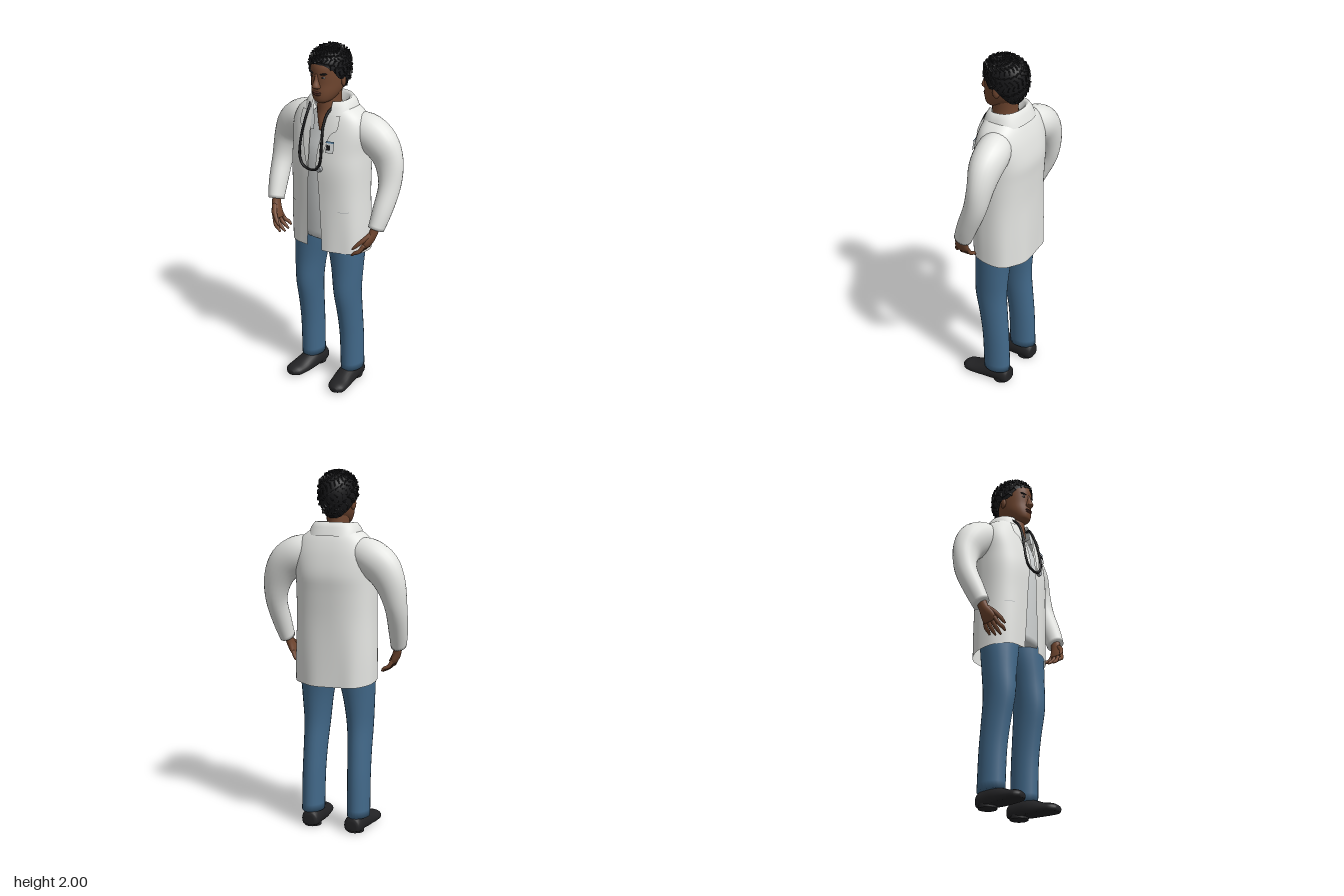
import * as THREE from 'three';
import { mergeGeometries } from 'three/addons/utils/BufferGeometryUtils.js';

const V = (x, y, z) => new THREE.Vector3(x, y, z);
const mat = (name, color, side = THREE.FrontSide) => {
  const m = new THREE.MeshStandardMaterial({ color, side });
  m.name = name;
  return m;
};

// Smooth surface through rows of points; closed rows wrap round
function grid(rows, closed) {
  const n = rows[0].length, idx = [];
  for (let i = 0; i < rows.length - 1; i++)
    for (let j = 0; j < (closed ? n : n - 1); j++) {
      const a = i * n + j, b = i * n + (j + 1) % n;
      idx.push(a, b, b + n, a, b + n, a + n);
    }
  const g = new THREE.BufferGeometry().setFromPoints(rows.flat());
  g.setIndex(idx);
  g.computeVertexNormals();
  return g;
}

// Catmull-Rom resampling of section tables
function smooth(s, steps) {
  const out = [], at = i => s[Math.min(Math.max(i, 0), s.length - 1)];
  for (let i = 0; i < s.length - 1; i++)
    for (let k = 0; k < steps; k++) {
      const t = k / steps;
      out.push(s[i].map((p, c) => {
        const m0 = (at(i + 1)[c] - at(i - 1)[c]) / 2, m1 = (at(i + 2)[c] - p) / 2, d = at(i + 1)[c] - p;
        return p + t * (m0 + t * (3 * d - 2 * m0 - m1 + t * (m0 + m1 - 2 * d)));
      }));
    }
  out.push(at(s.length - 1));
  return out;
}

// Capped loft through [x, y, z, r, depth] sections
function loft(sections, { axis, ref = V(0, 0, 1), sides = 24, steps = 4, floor = -1 } = {}) {
  const s = smooth(sections, steps), c = s.map(p => V(p[0], p[1], p[2]));
  const rows = s.map((p, i) => {
    const T = axis || c[Math.min(i + 1, c.length - 1)].clone().sub(c[Math.max(i - 1, 0)]).normalize();
    const u = T.clone().cross(ref).normalize(), v = u.clone().cross(T);
    return Array.from({ length: sides }, (_, j) => {
      const t = j / sides * Math.PI * 2;
      const q = c[i].clone().addScaledVector(u, p[3] * Math.sin(t)).addScaledVector(v, p[4] * Math.cos(t));
      q.y = Math.max(q.y, floor);
      return q;
    });
  });
  const cap = p => Array.from({ length: sides }, () => V(p.x, Math.max(p.y, floor), p.z));
  return grid([cap(c[0]), ...rows, cap(c[c.length - 1])], true);
}
const UP = V(0, 1, 0);
const upright = (table, opt = {}) =>
  loft(table.map(([y, zf, zb, r]) => [0, y, (zf + zb) / 2, r, (zf - zb) / 2]), { axis: UP, ...opt });

// Coat sections: y, half width, front z, back z, left gap, right gap
const coat = smooth([
  [0.86, 0.228, 0.14, -0.172, 0.045, 0.06], [1.0, 0.228, 0.143, -0.172, 0.04, 0.052],
  [1.2, 0.222, 0.147, -0.172, 0.03, 0.045], [1.35, 0.222, 0.15, -0.178, 0.022, 0.035],
  [1.45, 0.222, 0.138, -0.183, 0.025, 0.037], [1.55, 0.228, 0.115, -0.165, 0.04, 0.045],
  [1.62, 0.205, 0.095, -0.143, 0.05, 0.05], [1.665, 0.16, 0.078, -0.122, 0.055, 0.055],
  [1.695, 0.105, 0.06, -0.1, 0.06, 0.06]], 4);
const POW = 2.5;

function openRing([y, w, zf, zb, gl, gr], tilt = 0, ripple = 0) {
  const ang = g => Math.asin(Math.pow(g / w, POW / 2));
  const t0 = ang(gl), t1 = Math.PI * 2 - ang(gr), n = 56;
  const f = v => Math.sign(v) * Math.pow(Math.abs(v), 2 / POW);
  return Array.from({ length: n + 1 }, (_, j) => {
    const t = t0 + (t1 - t0) * j / n, k = 1 + ripple * Math.sin(t * 7);
    const z = (zf + zb) / 2 + (zf - zb) / 2 * f(Math.cos(t)) * k;
    return V(w * f(Math.sin(t)), y + tilt * z, z);
  });
}
function coatZ(x, y) {
  let i = coat.findIndex(s => s[0] >= y);
  i = i < 1 ? 1 : i;
  const a = coat[i - 1], b = coat[i], k = (y - a[0]) / (b[0] - a[0]);
  const [, w, zf, zb] = a.map((p, c) => p + (b[c] - p) * k);
  return (zf + zb) / 2 + (zf - zb) / 2 * Math.pow(Math.max(0, 1 - Math.pow(Math.abs(x) / w, POW)), 1 / POW);
}
// Thin patch lying on the coat front, from [y, x0, x1] rows going up
function patch(rows, off) {
  return grid(smooth(rows, 3).map(([y, a, b]) =>
    Array.from({ length: 6 }, (_, j) => { const x = a + (b - a) * j / 5; return V(x, y, coatZ(x, y) + off); })), false);
}

export function createModel() {
  const model = new THREE.Group();
  model.name = 'standingFigure';
  const D = THREE.DoubleSide;
  const white = mat('coatWhite', 0xe4e5e2, D), shirt = mat('shirtGrey', 0xd3d6d6, D), skin = mat('skinBrown', 0x714730),
    denim = mat('denimBlue', 0x42698a), black = mat('hairBlack', 0x18181a, D), leather = mat('shoeBlack', 0x232325),
    lip = mat('lipBrown', 0x5a3228), metal = mat('metalGrey', 0xa9adb0), eyeWhite = mat('eyeWhite', 0xb9aea6),
    blue = mat('badgeBlue', 0x5d87a8, D);
  const add = (name, geo, m, parent = model) => {
    const o = new THREE.Mesh(geo, m);
    o.name = name;
    parent.add(o);
    return o;
  };
  const blob = (name, m, p, s, parent = model) => {
    const o = add(name, new THREE.SphereGeometry(1, 14, 10), m, parent);
    o.position.set(...p);
    o.scale.set(...s);
    return o;
  };

  // Coat body, collar and lapels
  add('coatBody', grid(coat.map(s => {
    const k = Math.max(0, (1.2 - s[0]) / 0.34);
    return openRing(s, 0.12 * k * k, 0.035 * k);
  }), false), white);
  add('coatCollar', grid([[1.645, 0.15, 0.1, -0.138, 0.062, 0.062], [1.69, 0.137, 0.085, -0.122, 0.062, 0.062],
    [1.72, 0.115, 0.07, -0.105, 0.06, 0.06], [1.71, 0.095, 0.06, -0.088, 0.055, 0.055],
    [1.66, 0.088, 0.055, -0.08, 0.05, 0.05]].map(s => openRing(s, -0.08)), false), white);
  add('leftLapel', patch([[1.36, 0.018, 0.025], [1.46, 0.022, 0.06], [1.55, 0.035, 0.085], [1.58, 0.04, 0.12],
    [1.65, 0.05, 0.12]], 0.012), white);
  add('rightLapel', patch([[1.36, -0.038, -0.03], [1.46, -0.07, -0.033], [1.55, -0.09, -0.04], [1.58, -0.12, -0.042],
    [1.65, -0.12, -0.05]], 0.012), white);
  for (const s of [-1, 1]) {
    const xs = [s * 0.14, s * 0.19].sort((a, b) => a - b);
    add('pocketSlit', patch([[1.122, ...xs], [1.125, ...xs]], 0.004), metal);
  }

  // Shirt with a small open collar
  add('shirtBody', upright([[0.93, 0.122, -0.13, 0.19], [1.15, 0.13, -0.14, 0.19], [1.4, 0.125, -0.14, 0.19],
    [1.52, 0.1, -0.12, 0.18], [1.6, 0.08, -0.1, 0.12], [1.65, 0.06, -0.08, 0.08]]), shirt);
  add('shirtCollarLeft', patch([[1.56, 0.022, 0.04], [1.61, 0.028, 0.062], [1.66, 0.045, 0.065]], 0.006), shirt);
  add('shirtCollarRight', patch([[1.56, -0.04, -0.022], [1.61, -0.062, -0.028], [1.66, -0.065, -0.045]], 0.006), shirt);

  // Neck and head
  add('neck', upright([[1.555, 0.098, 0.02, 0.01], [1.6, 0.097, -0.04, 0.035], [1.65, 0.082, -0.07, 0.062],
    [1.71, 0.078, -0.066, 0.06], [1.79, 0.07, -0.07, 0.062]]), skin);
  add('head', upright([[1.706, 0.1, 0.04, 0.026], [1.718, 0.117, 0, 0.046], [1.74, 0.124, -0.04, 0.062],
    [1.77, 0.125, -0.075, 0.075], [1.81, 0.122, -0.1, 0.083], [1.86, 0.125, -0.11, 0.087],
    [1.91, 0.122, -0.11, 0.086], [1.96, 0.09, -0.09, 0.066], [1.98, 0.03, -0.03, 0.03]], { sides: 32 }), skin);
  add('nose', upright([[1.788, 0.13, 0.1, 0.014], [1.797, 0.147, 0.1, 0.023], [1.808, 0.15, 0.1, 0.02],
    [1.835, 0.138, 0.1, 0.012], [1.868, 0.127, 0.1, 0.01]], { sides: 14 }), skin);
  blob('upperLip', lip, [0, 1.768, 0.121], [0.027, 0.006, 0.013]);
  blob('lowerLip', lip, [0, 1.758, 0.12], [0.024, 0.007, 0.013]);
  for (const s of [-1, 1]) {
    blob('ear', skin, [s * 0.088, 1.82, 0.005], [0.012, 0.032, 0.02]).rotation.y = s * 0.3;
    blob('eye', eyeWhite, [s * 0.034, 1.85, 0.111], [0.013, 0.0055, 0.006]);
    blob('iris', black, [s * 0.034, 1.85, 0.115], [0.006, 0.006, 0.004]);
    const brow = blob('eyebrow', black, [s * 0.036, 1.869, 0.113], [0.021, 0.005, 0.008]);
    brow.rotation.set(0, s * 0.3, s * 0.12);
  }

  // Hair cap with an uneven hairline, covered in short tufts
  const line = [1.918, 1.915, 1.895, 1.835, 1.835, 1.785, 1.755, 1.745, 1.745];
  const hairPoint = (a, k, lift = 1) => {
    const q = Math.abs(a) / Math.PI * 8, i = Math.min(7, Math.floor(q));
    const y0 = line[i] + (line[i + 1] - line[i]) * (q - i);
    const y = y0 + (1.99 - y0) * Math.sin(k * Math.PI / 2), d = (y - 1.87) / 0.12;
    const r = lift * (d > 0 ? Math.sqrt(Math.max(0, 1 - d * d * d)) : 1 - 0.42 * d * d);
    return V(0.102 * r * Math.sin(a), y, 0.126 * r * Math.cos(a));
  };
  add('hairCap', grid(Array.from({ length: 15 }, (_, i) => Array.from({ length: 41 }, (_, j) =>
    hairPoint((j / 20 - 1) * Math.PI, i / 14, 1 + 0.012 * Math.sin(i * 2.3 + j * 1.9)))), false), black);
  const tufts = [];
  for (let i = 0; i < 260; i++) {
    const a = ((i * 0.618034) % 1 * 2 - 1) * Math.PI, p = hairPoint(a, 0.03 + 0.95 * (i / 260));
    const g = new THREE.BoxGeometry(0.024, 0.007, 0.011);
    g.rotateZ(i * 1.7).rotateY(a + Math.sin(i) * 0.4).translate(p.x, p.y, p.z);
    tufts.push(g);
  }
  add('hairTufts', mergeGeometries(tufts), black);

  // Arms, hands, legs and shoes, built on the left and mirrored
  for (const side of [1, -1]) {
    const half = new THREE.Group();
    half.name = side > 0 ? 'leftLimbs' : 'rightLimbs';
    half.scale.x = side;
    model.add(half);
    add('sleeve', loft([[0.14, 1.565, -0.045, 0.085, 0.08], [0.21, 1.545, -0.055, 0.1, 0.092],
      [0.285, 1.49, -0.06, 0.1, 0.085], [0.335, 1.4, -0.062, 0.082, 0.068], [0.357, 1.28, -0.04, 0.06, 0.062],
      [0.35, 1.15, 0.015, 0.052, 0.057], [0.338, 1.055, 0.055, 0.042, 0.05]]), white, half);
    add('palm', loft([[0.337, 1.08, 0.05, 0.022, 0.028], [0.328, 1.03, 0.065, 0.022, 0.03],
      [0.312, 0.985, 0.08, 0.02, 0.042], [0.298, 0.955, 0.085, 0.014, 0.04]]), skin, half);
    for (let i = 0; i < 4; i++) {
      const z = 0.053 + i * 0.021, d = Math.abs(i - 1.7) * 0.008, f = (i - 1) * 0.008;
      add('finger', loft([[0.305, 0.975, z, 0.011, 0.011], [0.285, 0.937, z + f, 0.011, 0.011],
        [0.26, 0.912 + d, z + f * 1.5, 0.01, 0.01], [0.232 + d, 0.895 + d, z + f * 1.7, 0.005, 0.005]],
      { sides: 10 }), skin, half);
    }
    add('thumb', loft([[0.325, 1.03, 0.085, 0.014, 0.014], [0.3, 1.0, 0.118, 0.013, 0.013],
      [0.272, 0.97, 0.138, 0.011, 0.011], [0.25, 0.945, 0.148, 0.005, 0.005]], { sides: 10 }), skin, half);
    add('trouserLeg', loft([[0.1, 1.02, 0, 0.1, 0.11], [0.112, 0.9, 0.002, 0.106, 0.108],
      [0.125, 0.75, 0.01, 0.086, 0.1], [0.131, 0.6, 0.015, 0.071, 0.096], [0.135, 0.45, -0.004, 0.065, 0.086],
      [0.138, 0.3, -0.02, 0.063, 0.081], [0.14, 0.085, -0.028, 0.062, 0.081]].reverse(), { axis: UP }), denim, half);
    add('shoe', loft([[0.13, 0.035, -0.112, 0.03, 0.03], [0.131, 0.04, -0.095, 0.05, 0.055],
      [0.133, 0.045, -0.02, 0.055, 0.062], [0.138, 0.035, 0.05, 0.058, 0.055], [0.146, 0.03, 0.11, 0.058, 0.038],
      [0.152, 0.028, 0.16, 0.05, 0.03], [0.154, 0.027, 0.187, 0.022, 0.014]],
    { axis: V(0, 0, 1), ref: UP, floor: 0.012 }), leather, half);
    const heel = add('heel', new THREE.CylinderGeometry(0.05, 0.05, 0.024, 20), leather, half);
    heel.position.set(0.132, 0.012, -0.055);
  }

  // Stethoscope
  const path = new THREE.CatmullRomCurve3([V(-0.1, 1.7, 0.03), V(-0.075, 1.67, 0.085), V(-0.075, 1.61, 0.122),
    V(-0.085, 1.5, 0.15), V(-0.083, 1.41, 0.163), V(-0.06, 1.365, 0.166), V(-0.01, 1.35, 0.166), V(0.03, 1.362, 0.166),
    V(0.05, 1.4, 0.165), V(0.052, 1.5, 0.152), V(0.045, 1.6, 0.125), V(0.055, 1.67, 0.085), V(0.095, 1.7, 0.03)]);
  add('stethoscopeTube', new THREE.TubeGeometry(path, 70, 0.007, 8), black);
  const piece = add('stethoscopeChestPiece', new THREE.CylinderGeometry(0.017, 0.02, 0.014, 20), metal);
  piece.rotation.x = Math.PI / 2;
  piece.position.set(0.04, 1.365, 0.162);

  // Name badge
  add('badgeCard', patch([[1.46, 0.075, 0.118], [1.515, 0.075, 0.118]], 0.018), shirt);
  add('badgeStrip', patch([[1.513, 0.072, 0.118], [1.523, 0.072, 0.118]], 0.021), blue);
  add('badgePhoto', patch([[1.475, 0.08, 0.1], [1.503, 0.08, 0.1]], 0.021), black);
  return model;
}
